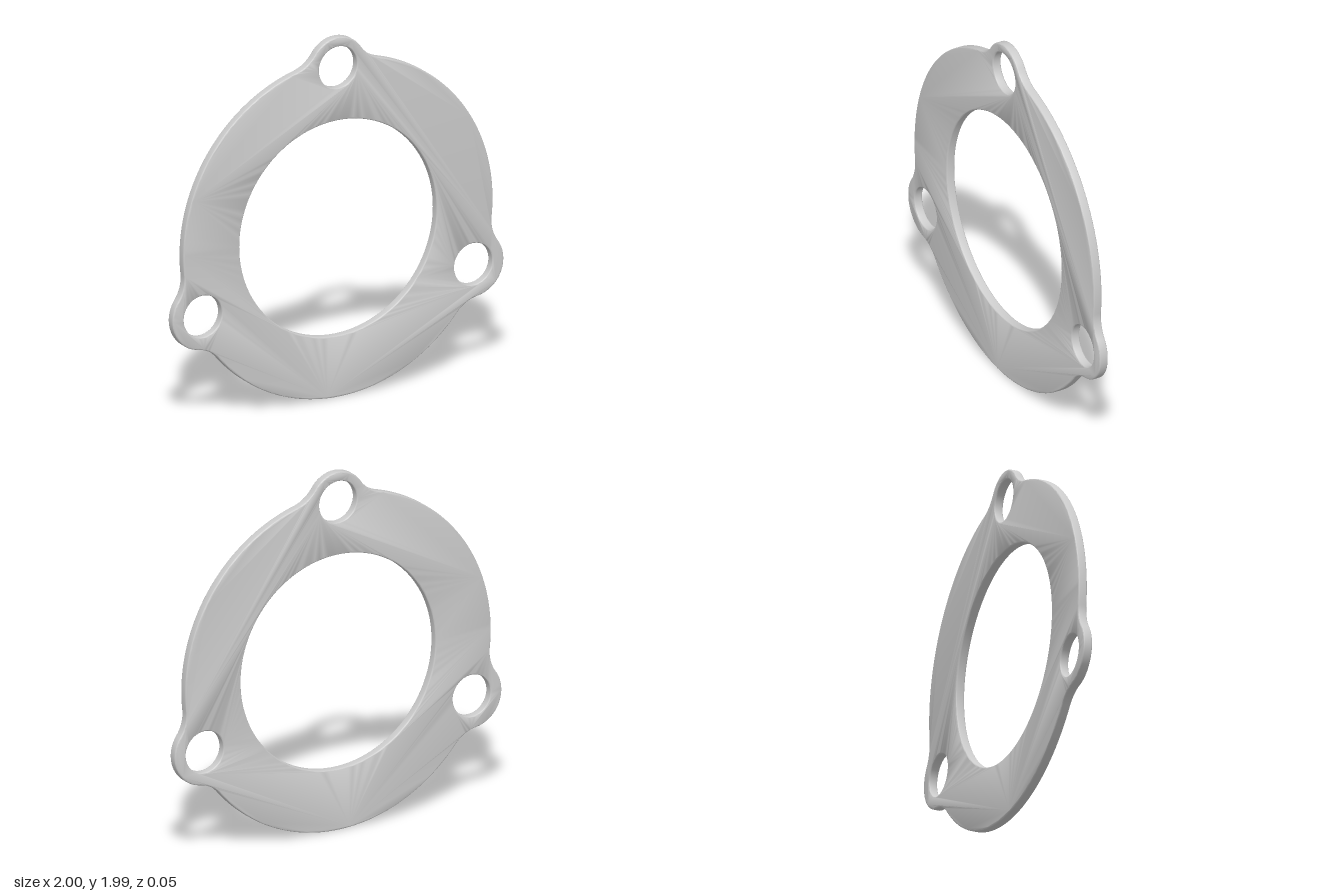
import * as THREE from 'three';
import { toCreasedNormals } from 'three/addons/utils/BufferGeometryUtils.js';

const CENTRE_Y = 0.935, RING_R = 0.935, BORE_R = 0.596, BOLT_R = 0.115;
const FILLET = 0.2, THICKNESS = 0.05, BEVEL = 0.008;

// Bolt ears, counter-clockwise: angle, distance from the centre, outer radius
const LOWER = THREE.MathUtils.degToRad(22.9);
const EARS = [
  { t: -LOWER, d: 0.887, r: 0.183 },
  { t: Math.PI / 2, d: 0.889, r: 0.166 },
  { t: Math.PI + LOWER, d: 0.887, r: 0.183 },
];

const polar = (r, a) => new THREE.Vector2(r * Math.cos(a), r * Math.sin(a));

// Points along an arc, without its last point
function arc(c, r, from, to, n) {
  return Array.from({ length: n }, (_, i) => polar(r, from + (to - from) * i / n).add(c));
}

// Angles at the ring centre (alpha) and ear centre (beta) towards the fillet centre
function blend({ d, r }) {
  const a = RING_R + FILLET, b = r + FILLET;
  return {
    alpha: Math.acos((a * a + d * d - b * b) / (2 * a * d)),
    beta: Math.acos((b * b + d * d - a * a) / (2 * b * d)),
  };
}

// Ring with three ears, each blended in by a concave fillet on both sides
function outline() {
  const origin = new THREE.Vector2();
  const points = [];
  EARS.forEach((ear, i) => {
    const { t, d, r } = ear;
    const { alpha, beta } = blend(ear);
    const reach = RING_R + FILLET;
    points.push(
      ...arc(polar(reach, t - alpha), FILLET, t - alpha + Math.PI, t + beta, 14),
      ...arc(polar(d, t), r, t - Math.PI + beta, t + Math.PI - beta, 32),
      ...arc(polar(reach, t + alpha), FILLET, t - beta, t + alpha - Math.PI, 14),
    );
    const next = EARS[(i + 1) % EARS.length];
    const end = next.t + (i === EARS.length - 1 ? 2 * Math.PI : 0) - blend(next).alpha;
    points.push(...arc(origin, RING_R, t + alpha, end, 48));
  });
  return points;
}

export function createModel() {
  const group = new THREE.Group();
  group.name = 'flangeGasket';

  const shape = new THREE.Shape(outline());

  // Central bore and bolt holes
  const hole = (c, r, n) => shape.holes.push(new THREE.Path(arc(c, r, 0, 2 * Math.PI, n)));
  hole(new THREE.Vector2(), BORE_R, 128);
  EARS.forEach(({ t, d }) => hole(polar(d, t), BOLT_R, 48));

  // Thin plate with softly rounded edges
  const depth = THICKNESS - 2 * BEVEL;
  const geometry = new THREE.ExtrudeGeometry(shape, {
    depth, bevelEnabled: true, bevelThickness: BEVEL, bevelSize: BEVEL,
    bevelOffset: -BEVEL, bevelSegments: 4,
  });
  geometry.translate(0, CENTRE_Y, -depth / 2);

  const plate = new THREE.Mesh(
    toCreasedNormals(geometry, Math.PI / 5),
    new THREE.MeshStandardMaterial({ color: 0xcccccc }),
  );
  plate.name = 'plate';
  group.add(plate);
  return group;
}
